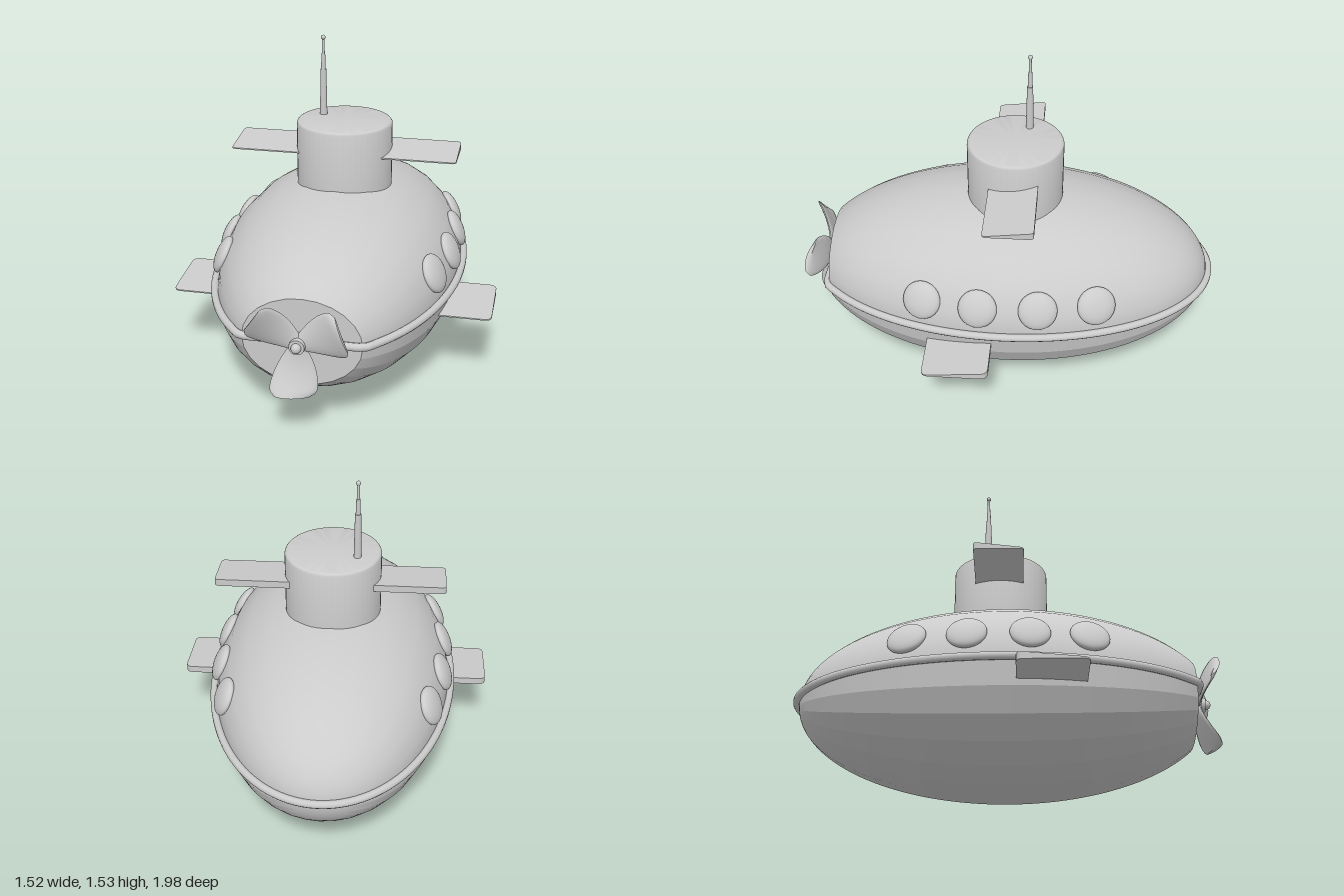
import * as THREE from 'three';
import { toCreasedNormals } from 'three/addons/utils/BufferGeometryUtils.js';

const RX = 0.57, RY = 0.437, RZ = 0.97; // hull half sizes
const CY = 0.44;                        // hull centre height
const NOSE = 0.86;                      // hull is cut flat here

export function createModel() {
  const model = new THREE.Group();
  const material = new THREE.MeshStandardMaterial({ color: 0xcccccc, side: THREE.DoubleSide });
  const add = (name, geometry, parent = model) => {
    const mesh = new THREE.Mesh(geometry, material);
    mesh.name = name;
    parent.add(mesh);
    return mesh;
  };

  // Hull halves: an ellipsoid lathed about z, smooth above and in flat strips below
  const profile = [];
  const cut = Math.asin(NOSE / RZ);
  for (let i = 0; i <= 56; i++) {
    const a = -Math.PI / 2 + (cut + Math.PI / 2) * i / 56;
    profile.push(new THREE.Vector2(Math.max(Math.cos(a), 0), RZ * Math.sin(a)));
  }
  const half = (start) => new THREE.LatheGeometry(profile, 12, start, Math.PI)
    .rotateX(Math.PI / 2).scale(RX, RY, 1).translate(0, CY, 0);
  add('upperHull', half(Math.PI / 2));
  add('lowerHull', toCreasedNormals(half(-Math.PI / 2), 0.15));
  const noseRadius = Math.cos(cut);
  add('hullNosePlate', new THREE.CircleGeometry(noseRadius, 24).scale(RX, RY, 1).translate(0, CY, NOSE));

  // Rail around the waist, open behind the propeller
  const rail = [new THREE.Vector3(0.15, 0.45, 0.872)];
  const a0 = Math.asin(0.865 / 0.98);
  for (let i = 0; i <= 60; i++) {
    const a = a0 - (Math.PI + 2 * a0) * i / 60;
    rail.push(new THREE.Vector3(0.58 * Math.cos(a), 0.45, 0.98 * Math.sin(a)));
  }
  rail.push(new THREE.Vector3(-0.15, 0.45, 0.872));
  add('waistRail', new THREE.TubeGeometry(new THREE.CatmullRomCurve3(rail), 140, 0.018, 10));

  // Conning tower with a rounded top edge
  const towerProfile = [new THREE.Vector2(0.226, 0.78)];
  for (let i = 0; i <= 4; i++) {
    const a = Math.PI / 2 * i / 4;
    towerProfile.push(new THREE.Vector2(0.208 + 0.018 * Math.cos(a), 1.132 + 0.018 * Math.sin(a)));
  }
  towerProfile.push(new THREE.Vector2(0, 1.15));
  add('tower', toCreasedNormals(new THREE.LatheGeometry(towerProfile, 48), 0.6)).position.z = -0.027;

  // Stepped periscope mast
  const mast = new THREE.Group();
  mast.name = 'mast';
  mast.position.set(-0.115, 0, -0.085);
  model.add(mast);
  [[1.13, 1.37, 0.018, 0.014], [1.37, 1.445, 0.011, 0.009], [1.445, 1.52, 0.007, 0.006]]
    .forEach(([y0, y1, r0, r1]) => {
      add('mastSection', new THREE.CylinderGeometry(r1, r0, y1 - y0, 16), mast).position.y = (y0 + y1) / 2;
    });
  add('mastTip', new THREE.SphereGeometry(0.011, 16, 12), mast).position.y = 1.522;

  // Wedge fins: rounded plan, thin at the front edge and thick at the rear
  const finGeometry = (x0, x1, zRear, zFront, r) => {
    const s = new THREE.Shape();
    s.moveTo(x0, -zFront);
    s.lineTo(x1 - r, -zFront);
    s.quadraticCurveTo(x1, -zFront, x1, -zFront + r);
    s.lineTo(x1, -zRear - r);
    s.quadraticCurveTo(x1, -zRear, x1 - r, -zRear);
    s.lineTo(x0, -zRear);
    const g = new THREE.ExtrudeGeometry(s, { depth: 1, bevelEnabled: false, curveSegments: 6 });
    g.rotateX(-Math.PI / 2);
    const p = g.attributes.position;
    for (let i = 0; i < p.count; i++) {
      const t = (zFront - p.getZ(i)) / (zFront - zRear);
      p.setY(i, p.getY(i) > 0.5 ? 0.006 + 0.028 * t : 0);
    }
    g.computeVertexNormals();
    return toCreasedNormals(g, 0.6);
  };
  for (const side of [1, -1]) {
    const word = side > 0 ? 'left' : 'right';
    const place = (name, y, g, dx = 0) => {
      // Half turn about z mirrors the fin, then the slope is turned back up
      if (side < 0) {
        g.scale(-1, 1, 1);
        const p = g.attributes.position, n = g.attributes.normal;
        for (const att of [p, n]) {
          for (let i = 0; i < att.count; i += 3) {
            const v = [att.getX(i), att.getY(i), att.getZ(i)];
            att.setXYZ(i, att.getX(i + 2), att.getY(i + 2), att.getZ(i + 2));
            att.setXYZ(i + 2, ...v);
          }
        }
      }
      add(name, g).position.set(dx, y, 0);
    };
    place(word + 'TowerFin', 1.001, finGeometry(0.1, 0.535, -0.143, 0.085, 0.02), 0.008);
    place(word + 'HullFin', 0.356, finGeometry(0.44, 0.758, 0.047, 0.352, 0.035));

    // Domed portholes lying square to the hull surface
    for (const z of [0.37, 0.11, -0.165, -0.43]) {
      const y = 0.14;
      const x = side * RX * Math.sqrt(1 - (y / RY) ** 2 - (z / RZ) ** 2);
      const port = add(word + 'Porthole', new THREE.SphereGeometry(1, 32, 20).scale(0.09, 0.09, 0.034));
      port.position.set(x, CY + y, z);
      const normal = new THREE.Vector3(x / RX ** 2, y / RY ** 2, z / RZ ** 2);
      port.lookAt(port.position.clone().add(normal));
    }
  }

  // Propeller: hub and three blades that widen and sweep forward
  const propeller = new THREE.Group();
  propeller.name = 'propeller';
  propeller.position.set(-0.005, 0.45, 0);
  model.add(propeller);
  add('hub', new THREE.CylinderGeometry(0.034, 0.04, 0.09, 24).rotateX(Math.PI / 2), propeller).position.z = 0.885;
  add('hubCap', new THREE.SphereGeometry(0.022, 20, 14), propeller).position.z = 0.935;

  const blade = new THREE.CylinderGeometry(1, 1, 1, 20, 14);
  const p = blade.attributes.position;
  for (let i = 0; i < p.count; i++) {
    const t = p.getY(i) + 0.5, u = p.getX(i), w = p.getZ(i);
    const tip = Math.sqrt(1 - 0.45 * Math.max(0, (t - 0.85) / 0.15) ** 2);
    const width = (0.04 + 0.06 * Math.sin(Math.min(t * 1.15, 1) * Math.PI / 2)) * tip;
    const sweep = 0.898 + 0.07 * t * t + 0.022 * u * t - 0.012 * u * u * t;
    p.setXYZ(i, u * width, 0.015 + 0.205 * t, sweep + w * 0.014 * tip);
  }
  blade.computeVertexNormals();
  const bladeGeometry = toCreasedNormals(blade, 0.9);
  for (let i = 0; i < 3; i++) {
    add('blade', bladeGeometry, propeller).rotation.z = Math.PI - 0.07 + i * Math.PI * 2 / 3;
  }
  return model;
}
